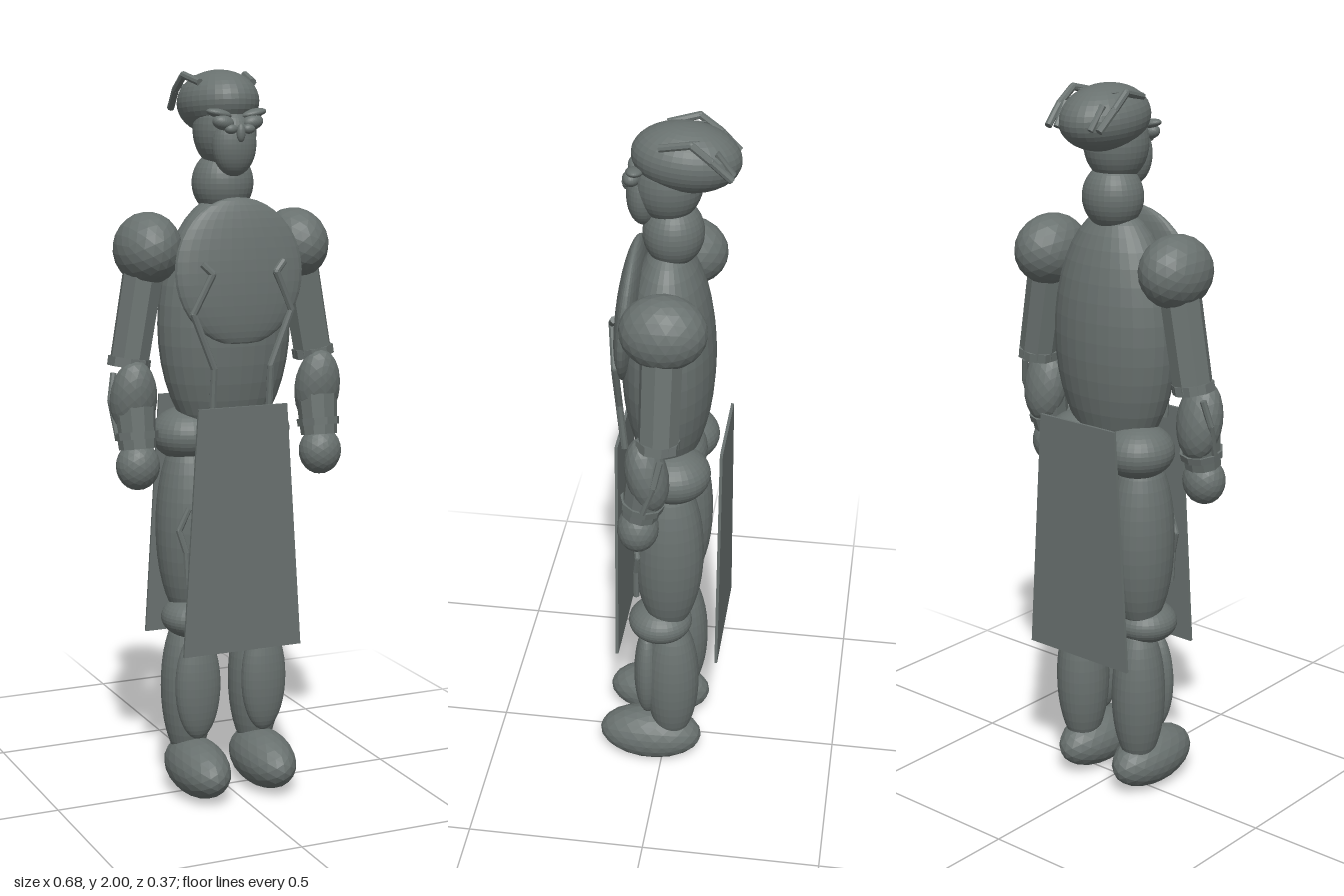
import * as THREE from 'three';

const skin = new THREE.MeshStandardMaterial({ color: 0x69716f, flatShading: true });
skin.name = 'slate grey';

// Rounded body part: centre, radii, optional tilt
function blob(parent, name, c, r, rot = [0, 0, 0], faceted = false) {
  const geo = faceted ? new THREE.IcosahedronGeometry(1, 3) : new THREE.SphereGeometry(1, 32, 20);
  const m = new THREE.Mesh(geo, skin);
  m.name = name;
  m.position.set(...c);
  m.scale.set(...r);
  m.rotation.set(...rot);
  parent.add(m);
  return m;
}

// Straight rod between two points
function rod(parent, name, a, b, r0, r1 = r0, sides = 8) {
  const p = new THREE.Vector3(...a), q = new THREE.Vector3(...b);
  const d = q.clone().sub(p);
  const m = new THREE.Mesh(new THREE.CylinderGeometry(r1, r0, d.length(), sides), skin);
  m.name = name;
  m.position.copy(p).add(q).multiplyScalar(0.5);
  m.quaternion.setFromUnitVectors(new THREE.Vector3(0, 1, 0), d.normalize());
  parent.add(m);
}

// Jointed pipe through a few points
function pipe(parent, name, pts, r) {
  const g = new THREE.Group();
  g.name = name;
  for (let i = 0; i + 1 < pts.length; i++) {
    rod(g, name + 'Segment', pts[i], pts[i + 1], r);
    if (i > 0) {
      const j = new THREE.Mesh(new THREE.SphereGeometry(r, 8, 6), skin);
      j.name = name + 'Joint';
      j.position.set(...pts[i]);
      g.add(j);
    }
  }
  parent.add(g);
}

// Trapezoid cloth panel
function flap(parent, name, z) {
  const s = new THREE.Shape([[-0.13, 1.11], [-0.175, 0.43], [0.175, 0.43], [0.13, 1.11]]
    .map(([x, y]) => new THREE.Vector2(x, y)));
  const m = new THREE.Mesh(new THREE.ExtrudeGeometry(s, { depth: 0.008, bevelEnabled: false }), skin);
  m.name = name;
  m.position.z = z - 0.004;
  parent.add(m);
}

export function createModel() {
  const root = new THREE.Group();
  root.name = 'figure';

  // Head and neck
  const head = new THREE.Group();
  head.name = 'head';
  root.add(head);
  blob(head, 'cranium', [0, 1.912, -0.048], [0.105, 0.086, 0.14], [-0.08, 0, 0]);
  blob(head, 'skull', [0, 1.84, -0.002], [0.085, 0.105, 0.09]);
  blob(head, 'face', [0, 1.805, 0.06], [0.062, 0.085, 0.045]);
  blob(head, 'nose', [0, 1.835, 0.105], [0.012, 0.024, 0.011]);
  blob(root, 'neck', [0, 1.70, -0.016], [0.084, 0.09, 0.08]);

  // Torso, breastplate and pelvis
  blob(root, 'torso', [0, 1.325, -0.005], [0.19, 0.345, 0.125]);
  blob(root, 'breastplate', [0, 1.47, 0.095], [0.185, 0.197, 0.036], [-0.08, 0, 0]);
  blob(root, 'pelvis', [0, 1.03, -0.02], [0.13, 0.08, 0.09]);

  // Loincloth panels
  flap(root, 'frontFlap', 0.12);
  flap(root, 'backFlap', -0.163);

  for (const s of [1, -1]) {
    const side = s > 0 ? 'left' : 'right';
    const P = (x, y, z) => [s * x, y, z];

    // Face and head details
    blob(head, side + 'Eye', P(0.042, 1.862, 0.085), [0.03, 0.02, 0.022], [0, 0, s * 0.2]);
    blob(head, side + 'Brow', P(0.05, 1.885, 0.075), [0.036, 0.012, 0.022], [0, 0, s * 0.2]);
    blob(head, side + 'Cheek', P(0.025, 1.845, 0.098), [0.018, 0.013, 0.014]);
    pipe(head, side + 'Crest', [P(0.077, 1.965, 0.01), P(0.09, 1.984, -0.07),
      P(0.093, 1.945, -0.12), P(0.086, 1.895, -0.172)], 0.01);
    rod(head, side + 'RearSpine', P(0.063, 1.955, -0.13), P(0.057, 1.895, -0.172), 0.009);
    rod(head, side + 'Spike', P(0.056, 1.975, -0.04), P(0.057, 1.982, -0.088), 0.009, 0.001, 6);

    // Chest pipe
    pipe(root, side + 'ChestPipe', [P(0.118, 1.497, 0.122), P(0.092, 1.47, 0.131),
      P(0.142, 1.365, 0.118), P(0.083, 1.217, 0.118), P(0.083, 1.08, 0.105)], 0.01);

    // Arm
    const arm = new THREE.Group();
    arm.name = side + 'Arm';
    root.add(arm);
    blob(arm, 'shoulder', P(0.217, 1.53, -0.02), [0.089, 0.098, 0.114], [0, 0, s * 0.15], true);
    rod(arm, 'upperArm', P(0.225, 1.5, -0.018), P(0.275, 1.22, -0.015), 0.056, 0.054);
    rod(arm, 'elbowCuff', P(0.272, 1.24, -0.015), P(0.276, 1.215, -0.014), 0.058);
    blob(arm, 'forearm', P(0.274, 1.13, 0.015), [0.065, 0.11, 0.056], [0.2, 0, 0], true);
    rod(arm, 'wrist', P(0.272, 1.11, 0.015), P(0.271, 1.0, 0.035), 0.058, 0.05, 10);
    rod(arm, 'wristCuff', P(0.271, 1.045, 0.027), P(0.271, 1.025, 0.031), 0.06, 0.058, 10);
    pipe(arm, 'armFin', [P(0.315, 1.2, -0.025), P(0.33, 1.13, -0.01), P(0.322, 1.04, 0.02)], 0.009);
    blob(arm, 'hand', P(0.272, 0.955, 0.04), [0.06, 0.066, 0.056], [0, 0, 0], true);

    // Leg
    const leg = new THREE.Group();
    leg.name = side + 'Leg';
    root.add(leg);
    blob(leg, 'hip', P(0.1, 1.02, -0.03), [0.1, 0.075, 0.102]);
    blob(leg, 'thigh', P(0.102, 0.76, -0.018), [0.09, 0.27, 0.098]);
    pipe(leg, 'thighPipe', [P(0.135, 0.83, 0.066), P(0.162, 0.77, 0.06),
      P(0.145, 0.71, 0.068), P(0.14, 0.62, 0.068)], 0.009);
    blob(leg, 'knee', P(0.1, 0.51, 0.006), [0.088, 0.058, 0.09]);
    blob(leg, 'calf', P(0.103, 0.3, -0.028), [0.074, 0.22, 0.078]);
    blob(leg, 'shinGuard', P(0.1, 0.32, 0.042), [0.066, 0.155, 0.04]);
    blob(leg, 'foot', P(0.1, 0.082, 0.036), [0.08, 0.08, 0.15], [0, 0, 0], true);
  }
  return root;
}
